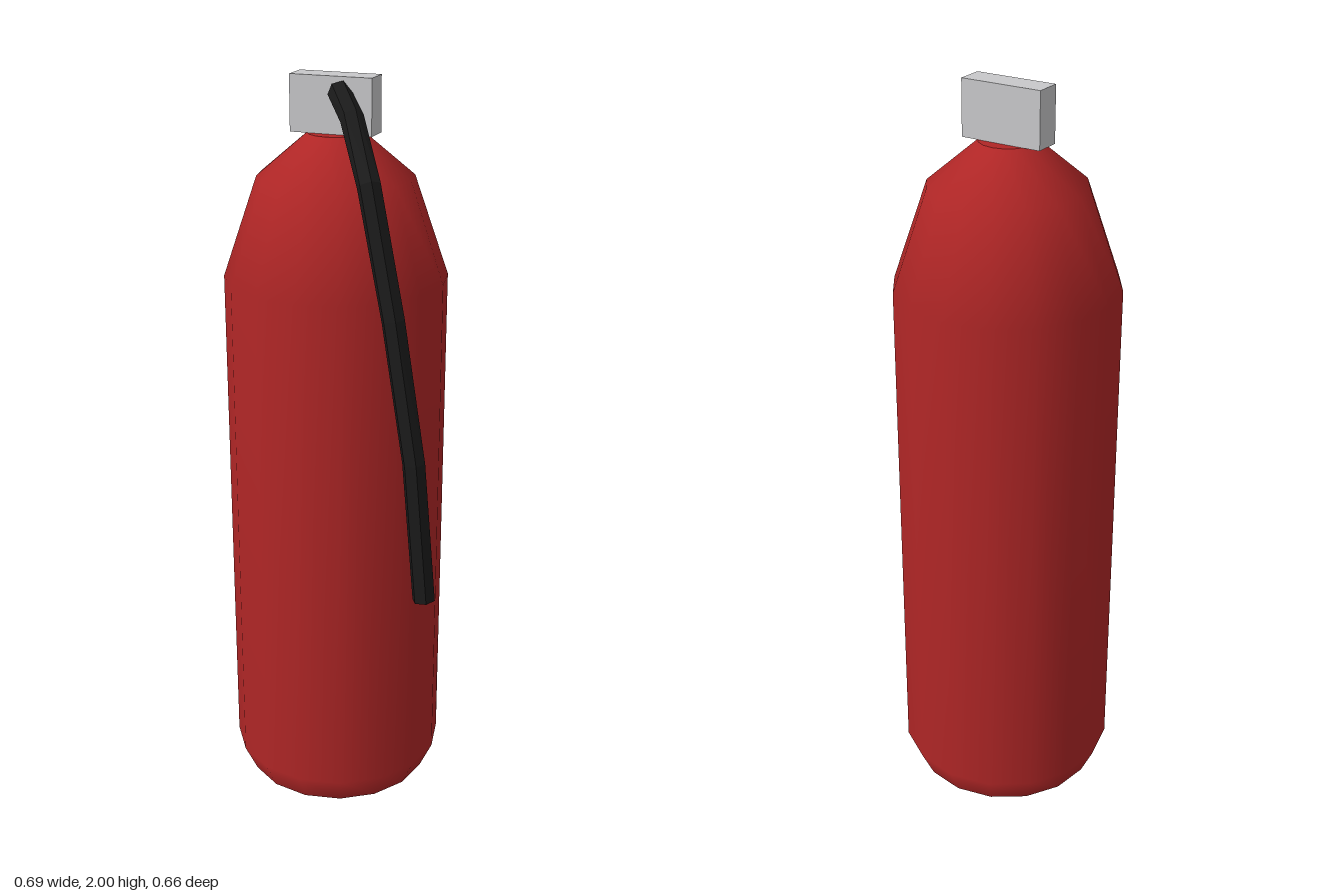
import * as THREE from 'three';

const V = (x, y, z) => new THREE.Vector3(x, y, z);

// Tube with straight runs between bends and closed ends
function bentTube(path, radius, sides) {
  const pos = [], index = [], n = path.length;
  path.forEach((p, i) => {
    const prev = path[Math.max(i - 1, 0)], next = path[Math.min(i + 1, n - 1)];
    const inDir = p.clone().sub(prev).normalize(), outDir = next.clone().sub(p).normalize();
    const t = inDir.add(outDir).normalize();
    const a = V(1, 0, 0).addScaledVector(t, -t.x).normalize();
    const b = t.clone().cross(a);
    for (let j = 0; j < sides; j++) {
      const ang = (j / sides) * Math.PI * 2;
      const q = p.clone().addScaledVector(a, Math.cos(ang) * radius).addScaledVector(b, Math.sin(ang) * radius);
      pos.push(q.x, q.y, q.z);
    }
  });
  const start = n * sides, end = start + 1, last = (n - 1) * sides;
  pos.push(...path[0].toArray(), ...path[n - 1].toArray());
  for (let j = 0; j < sides; j++) {
    const k = (j + 1) % sides;
    for (let i = 0; i < n - 1; i++) {
      const r = i * sides, s = r + sides;
      index.push(r + j, r + k, s + j, r + k, s + k, s + j);
    }
    index.push(start, k, j, end, last + j, last + k);
  }
  const geo = new THREE.BufferGeometry();
  geo.setAttribute('position', new THREE.Float32BufferAttribute(pos, 3));
  geo.setIndex(index);
  geo.computeVertexNormals();
  return geo;
}

export function createModel() {
  const group = new THREE.Group();
  const material = (name, color) => {
    const m = new THREE.MeshStandardMaterial({ color });
    m.name = name;
    return m;
  };
  const red = material('red paint', 0xb02626);
  const grey = material('light grey metal', 0xc8c8ca);
  const black = material('black rubber', 0x1a1a1a);
  black.flatShading = true;

  const add = (name, geo, mat, x = 0, y = 0, z = 0, parent = group) => {
    const mesh = new THREE.Mesh(geo, mat);
    mesh.name = name;
    mesh.position.set(x, y, z);
    parent.add(mesh);
    return mesh;
  };

  // Cylinder body: smooth sixteen-sided wall with flat discs at both ends
  const tank = new THREE.Group();
  tank.name = 'tank';
  tank.position.set(-0.052, 0, -0.035);
  group.add(tank);
  const profile = [[0.26, 0], [0.296, 0.078], [0.296, 1.48], [0.205, 1.745], [0.074, 1.855]];
  add('tankWall', new THREE.LatheGeometry(profile.map(([r, y]) => new THREE.Vector2(r, y)), 16), red, 0, 0, 0, tank);
  add('tankTop', new THREE.CircleGeometry(0.074, 16).rotateX(-Math.PI / 2), red, 0, 1.855, 0, tank);
  add('tankBase', new THREE.CircleGeometry(0.26, 16).rotateX(Math.PI / 2), red, 0, 0, 0, tank);

  // Valve block
  add('valveBlock', new THREE.BoxGeometry(0.222, 0.145, 0.072), grey, -0.053, 1.9275, -0.036);

  // Hose hanging from the valve block
  const path = [
    V(-0.03, 1.963, -0.002), V(0.043, 1.918, 0.1), V(0.133, 1.785, 0.225),
    V(0.217, 1.475, 0.28), V(0.282, 1.12, 0.301), V(0.316, 0.748, 0.303),
  ];
  add('hose', bentTube(path, 0.03, 6), black);

  return group;
}
